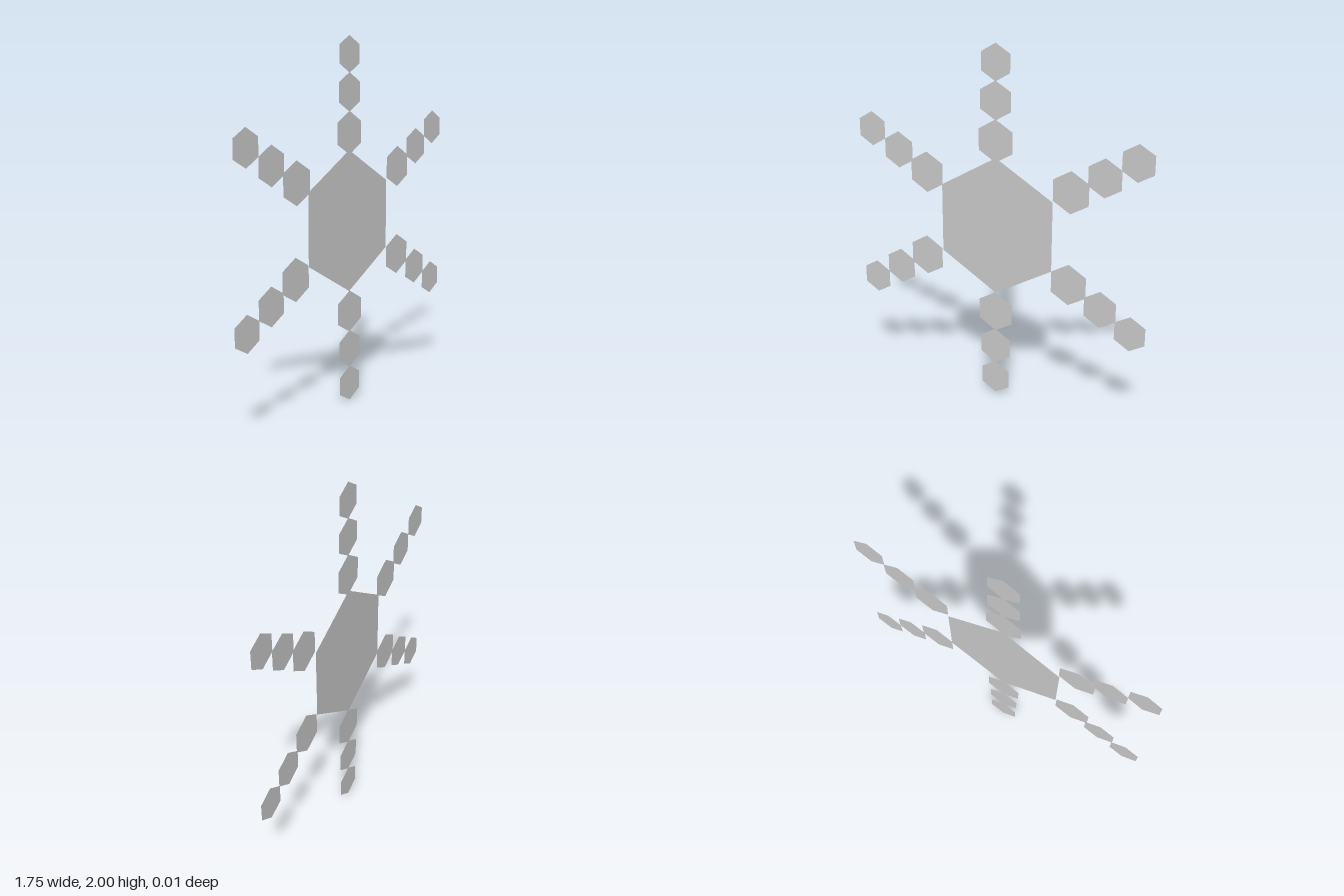
import * as THREE from 'three';

const material = new THREE.MeshStandardMaterial({ color: 0xcccccc, flatShading: true, side: THREE.DoubleSide });

// Flat hexagon plate with a corner pointing up
function hexagon(name, radius, x, y, z) {
  const mesh = new THREE.Mesh(new THREE.CircleGeometry(radius, 6, Math.PI / 2), material);
  mesh.name = name;
  mesh.position.set(x, y, z);
  return mesh;
}

export function createModel() {
  const model = new THREE.Group();
  model.name = 'snowflake';

  // Large central plate
  model.add(hexagon('centerHexagon', 0.387, 0, 1.01, -0.003));

  // Each arm: centres of its inner, middle and outer plates, and its depth
  const radii = [0.116, 0.104, 0.098];
  const arms = [
    { name: 'topArm', z: 0, at: [[0, 1.489], [0, 1.704], [0, 1.902]] },
    { name: 'upperLeftArm', z: 0, at: [[0.437, 1.273], [0.62, 1.376], [0.791, 1.477]] },
    { name: 'lowerLeftArm', z: 0, at: [[0.437, 0.761], [0.62, 0.657], [0.791, 0.557]] },
    { name: 'bottomArm', z: 0, at: [[0, 0.51], [0, 0.297], [0, 0.098]] },
    { name: 'lowerRightArm', z: 0, at: [[-0.44, 0.768], [-0.622, 0.665], [-0.794, 0.565]] },
    { name: 'upperRightArm', z: 0.003, at: [[-0.428, 1.262], [-0.61, 1.366], [-0.784, 1.466]] },
  ];
  for (const { name, z, at } of arms) {
    const arm = new THREE.Group();
    arm.name = name;
    at.forEach(([x, y], i) => arm.add(hexagon(['inner', 'middle', 'outer'][i] + 'Hexagon', radii[i], x, y, z)));
    model.add(arm);
  }
  return model;
}
